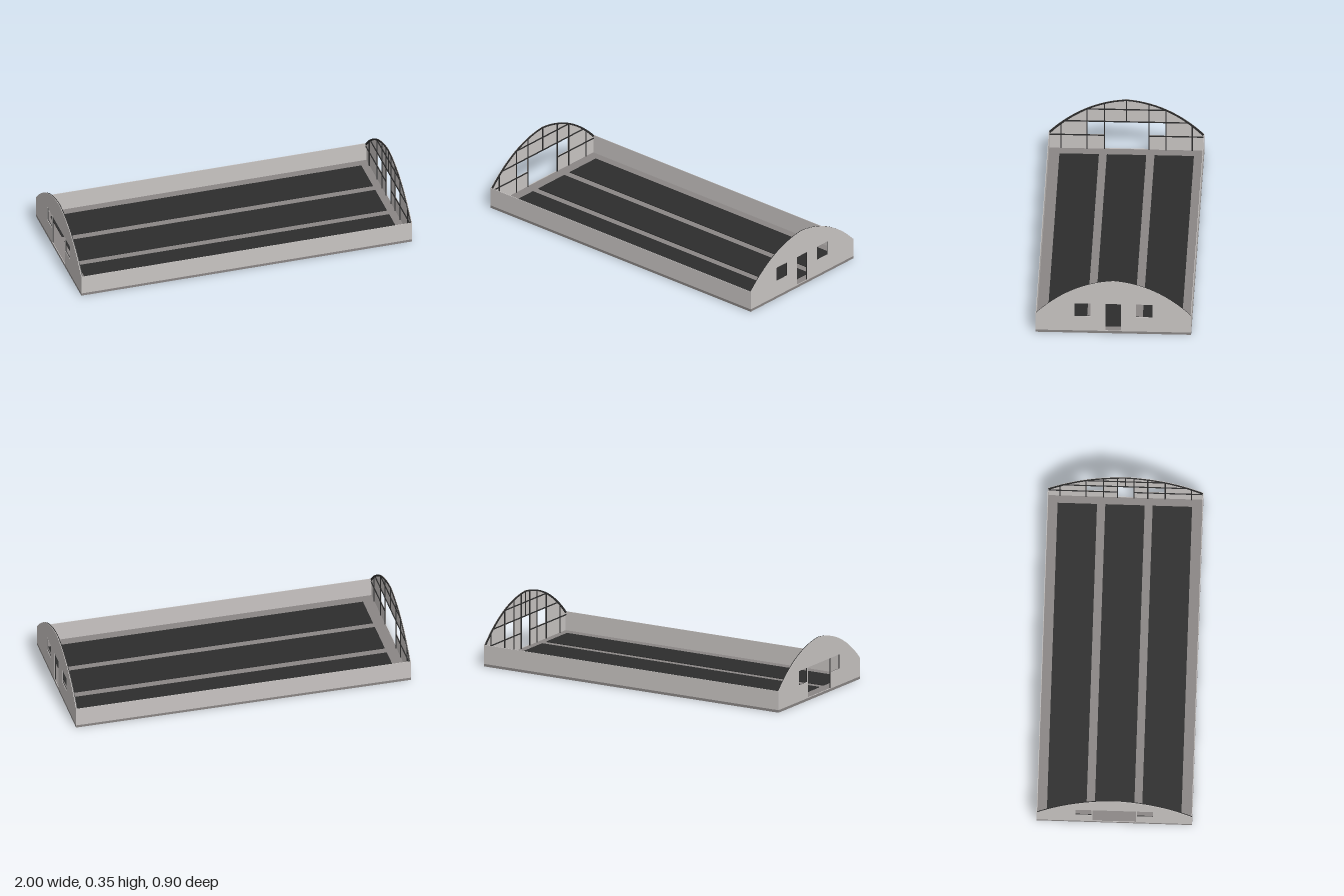
import * as THREE from 'three';

const paint = (name, color, extra = {}) => Object.assign(new THREE.MeshStandardMaterial({ color, ...extra }), { name });

export function createModel() {
  const wallMat = paint('paleWall', 0xc9c5c3);
  const floorMat = paint('greyFloor', 0x8a8685);
  const darkMat = paint('darkFrame', 0x2d2d2d);
  const model = new THREE.Group();
  model.name = 'archedHall';

  const box = (parent, name, mat, x0, x1, y0, y1, z0, z1) => {
    const mesh = new THREE.Mesh(new THREE.BoxGeometry(x1 - x0, y1 - y0, z1 - z0), mat);
    mesh.position.set((x0 + x1) / 2, (y0 + y1) / 2, (z0 + z1) / 2);
    mesh.name = name;
    parent.add(mesh);
  };

  // Floor slab with three long dark beds
  const FLOOR = 0.015, HALF = 0.45, EAVE = 0.128, T = 0.003;
  box(model, 'floorSlab', floorMat, -1, 1, 0, FLOOR, -HALF, HALF);
  for (const z of [-0.278, -0.002, 0.272])
    box(model, 'floorBed', darkMat, -0.93, 0.95, FLOOR, 0.019, z - 0.114, z + 0.114);

  // Low side walls
  for (const s of [-1, 1]) {
    const z = s * (HALF - T / 2);
    box(model, 'sideWall', wallMat, -1, 1, FLOOR, EAVE, z - T / 2, z + T / 2);
  }

  // Pointed arch outline shared by both ends: half from eave to ridge, then mirrored
  const half = new THREE.QuadraticBezierCurve(
    new THREE.Vector2(HALF, EAVE - 0.002), new THREE.Vector2(0.25, 0.334), new THREE.Vector2(0, 0.353)
  ).getPoints(14);
  const arch = [...half, ...half.slice(0, -1).reverse().map(p => new THREE.Vector2(-p.x, p.y))];
  const archHeight = z => {
    const a = Math.abs(z);
    const i = Math.max(1, half.findIndex(p => p.x <= a));
    const p = half[i - 1], q = half[i];
    return q.y + (p.y - q.y) * (a - q.x) / (p.x - q.x);
  };
  const archReach = y => {
    if (y <= half[0].y) return HALF;
    const i = half.findIndex(p => p.y >= y);
    const p = half[i - 1], q = half[i];
    return p.x + (q.x - p.x) * (y - p.y) / (q.y - p.y);
  };

  // Extrude a z-y outline along x, ending at x = 0
  const plate = (name, shape, depth, mat) => {
    const geo = new THREE.ExtrudeGeometry(shape, { depth, bevelEnabled: false });
    geo.rotateY(-Math.PI / 2);
    const mesh = new THREE.Mesh(geo, mat);
    mesh.name = name;
    return mesh;
  };
  const rect = (z0, z1, y0, y1) => new THREE.Path([[z0, y0], [z1, y0], [z1, y1], [z0, y1]].map(p => new THREE.Vector2(...p)));

  // End wall, built facing +x with its outer face at x = 0
  const endWall = (name, door) => {
    const end = new THREE.Group();
    end.name = name;
    const shape = new THREE.Shape([new THREE.Vector2(-HALF, FLOOR), new THREE.Vector2(HALF, FLOOR), ...arch]);
    shape.holes.push(rect(-door, door, 0.018, 0.198), rect(-0.225, -0.131, 0.112, 0.198), rect(0.131, 0.225, 0.112, 0.198));
    end.add(plate('wallPanel', shape, T, wallMat));

    // Dark arch rim on the inside
    const rim = new THREE.Shape([...arch, ...arch.slice().reverse().map(p => new THREE.Vector2(p.x * 0.98, p.y - 0.008))]);
    const rimMesh = plate('archRim', rim, 0.005, darkMat);
    rimMesh.position.x = -T;
    end.add(rimMesh);

    // Studs and rails on the inside
    const x0 = -T - 0.005, x1 = -T, w = 0.003;
    const studs = door < 0.1 ? [door + w, 0.128, 0.229, 0.38] : [door + w, 0.229, 0.38];
    for (const s of [-1, 1]) {
      for (const z of studs)
        box(end, 'stud', darkMat, x0, x1, FLOOR, archHeight(z) - 0.004, s * z - w, s * z + w);
      const reach = archReach(0.108) - 0.004;
      const a = s * door, b = s * reach;
      box(end, 'lowRail', darkMat, x0, x1, 0.105, 0.111, Math.min(a, b), Math.max(a, b));
    }
    for (const y of [0.202, 0.285]) {
      const r = archReach(y) - 0.006;
      box(end, 'rail', darkMat, x0, x1, y - w, y + w, -r, r);
    }
    box(end, 'ridgeStud', darkMat, x0, x1, 0.2, 0.348, -w, w);
    return end;
  };

  // Narrow door on the left end, wide door on the right end
  const leftEnd = endWall('leftEnd', 0.045);
  leftEnd.position.x = 1;
  const rightEnd = endWall('rightEnd', 0.126);
  rightEnd.position.x = -1;
  rightEnd.rotation.y = Math.PI;
  model.add(leftEnd, rightEnd);
  return model;
}
